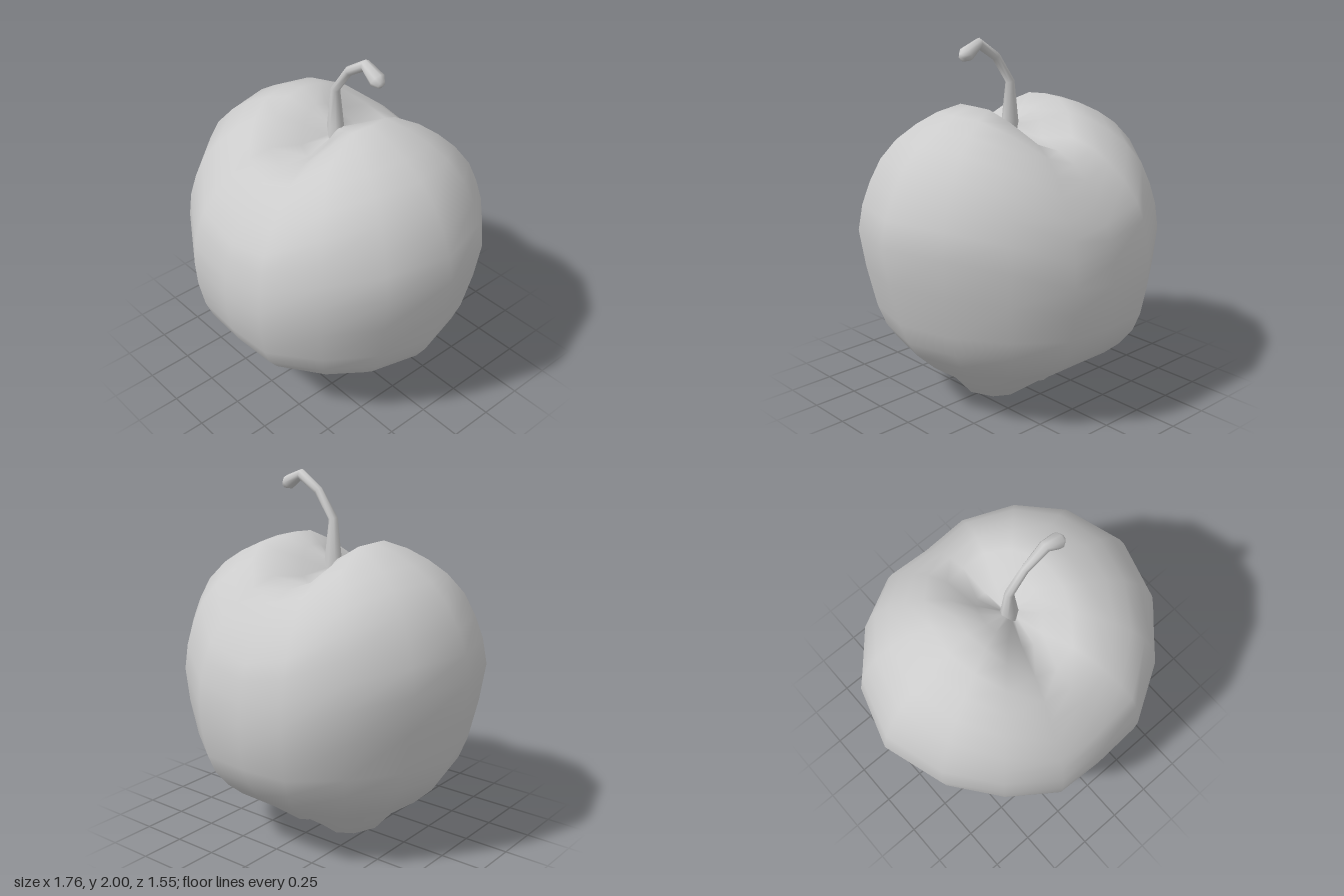
import * as THREE from 'three';
import { mergeVertices } from 'three/addons/utils/BufferGeometryUtils.js';

// Smooth skin over a list of closed rings with equal point counts.
function loft(rings) {
  const n = rings[0].length;
  const pos = [], index = [];
  rings.forEach(ring => ring.forEach(p => pos.push(...p)));
  for (let i = 0; i < rings.length - 1; i++) {
    for (let j = 0; j < n; j++) {
      const k = (j + 1) % n;
      const a = i * n + j, b = i * n + k, c = a + n, d = b + n;
      index.push(a, c, b, b, c, d);
    }
  }
  let geo = new THREE.BufferGeometry();
  geo.setAttribute('position', new THREE.Float32BufferAttribute(pos, 3));
  geo.setIndex(index);
  geo = mergeVertices(geo, 1e-5);
  geo.computeVertexNormals();
  return geo;
}

// Fruit rows from base to stem pit: [side radius, side y, front radius, front y, diagonal drop]
const ROWS = [
  [0, 0.05, 0, 0.05, 0],
  [0.16, 0.03, 0.08, 0.045, 0.01],
  [0.30, 0.02, 0.16, 0.045, 0.03],
  [0.41, 0.145, 0.37, 0.17, 0],
  [0.56, 0.255, 0.56, 0.30, 0],
  [0.67, 0.36, 0.64, 0.365, 0],
  [0.73, 0.45, 0.71, 0.46, 0],
  [0.78, 0.57, 0.745, 0.55, 0],
  [0.84, 0.80, 0.77, 0.68, 0],
  [0.88, 1.01, 0.775, 0.80, 0],
  [0.85, 1.15, 0.765, 0.92, 0],
  [0.80, 1.27, 0.74, 1.03, 0],
  [0.73, 1.39, 0.71, 1.11, 0],
  [0.63, 1.49, 0.64, 1.22, 0],
  [0.52, 1.56, 0.56, 1.31, 0],
  [0.40, 1.615, 0.48, 1.38, 0],
  [0.27, 1.65, 0.37, 1.43, 0],
  [0.15, 1.59, 0.19, 1.42, 0],
  [0.045, 1.54, 0.045, 1.47, 0],
  [0, 1.50, 0, 1.47, 0],
];

// Meridian angles and bulge for one quarter, mirrored to the full circle.
const ANGLES = [0, 24, 47, 70, 90];
const BULGE = [1, 0.985, 0.995, 1.04, 1];

function fruitGeometry() {
  const meridians = [];
  for (let q = 0; q < 4; q++) {
    for (let i = 0; i < 4; i++) {
      const k = q % 2 ? 4 - i : i;
      const deg = q % 2 ? (q + 1) * 90 - ANGLES[k] : q * 90 + ANGLES[k];
      meridians.push({ t: THREE.MathUtils.degToRad(deg), bulge: BULGE[k] });
    }
  }
  return loft(ROWS.map(([rs, ys, rf, yf, drop]) => meridians.map(({ t, bulge }) => {
    const c = Math.cos(t), s = Math.sin(t);
    // elliptical radius; lobes stay high at the sides and dip at front and back
    const r = rs === 0 ? 0 : bulge / Math.hypot(c / rs, s / rf);
    const y = THREE.MathUtils.lerp(ys, yf, s ** 4) - drop * Math.sin(2 * t) ** 2;
    return [r * c, y, r * s];
  })));
}

// Stem path stations: [x, y, radius in the bend plane, radius in z]
const STEM = [
  [0, 1.42, 0.06, 0.05],
  [0, 1.54, 0.05, 0.04],
  [0, 1.75, 0.024, 0.025],
  [0.10, 1.89, 0.025, 0.022],
  [0.22, 1.968, 0.029, 0.032],
  [0.305, 1.92, 0.04, 0.045],
  [0.335, 1.905, 0.022, 0.024],
  [0.345, 1.905, 0, 0],
];

function stemGeometry() {
  const sides = 8;
  return loft(STEM.map(([x, y, rn, rz], i) => {
    const a = STEM[Math.max(i - 1, 0)], b = STEM[Math.min(i + 1, STEM.length - 1)];
    const len = Math.hypot(b[0] - a[0], b[1] - a[1]);
    const nx = (b[1] - a[1]) / len, ny = -(b[0] - a[0]) / len;
    return Array.from({ length: sides }, (_, j) => {
      const t = (j / sides) * Math.PI * 2;
      const u = Math.cos(t) * rn;
      return [x + nx * u, y + ny * u, Math.sin(t) * rz];
    });
  }));
}

export function createModel() {
  const group = new THREE.Group();
  group.name = 'apple';
  const material = new THREE.MeshStandardMaterial({ color: 0xcccccc });

  // lobed fruit body
  const fruit = new THREE.Mesh(fruitGeometry(), material);
  fruit.name = 'fruit';

  // bent stem with a thicker tip
  const stem = new THREE.Mesh(stemGeometry(), material);
  stem.name = 'stem';

  group.add(fruit, stem);
  return group;
}
